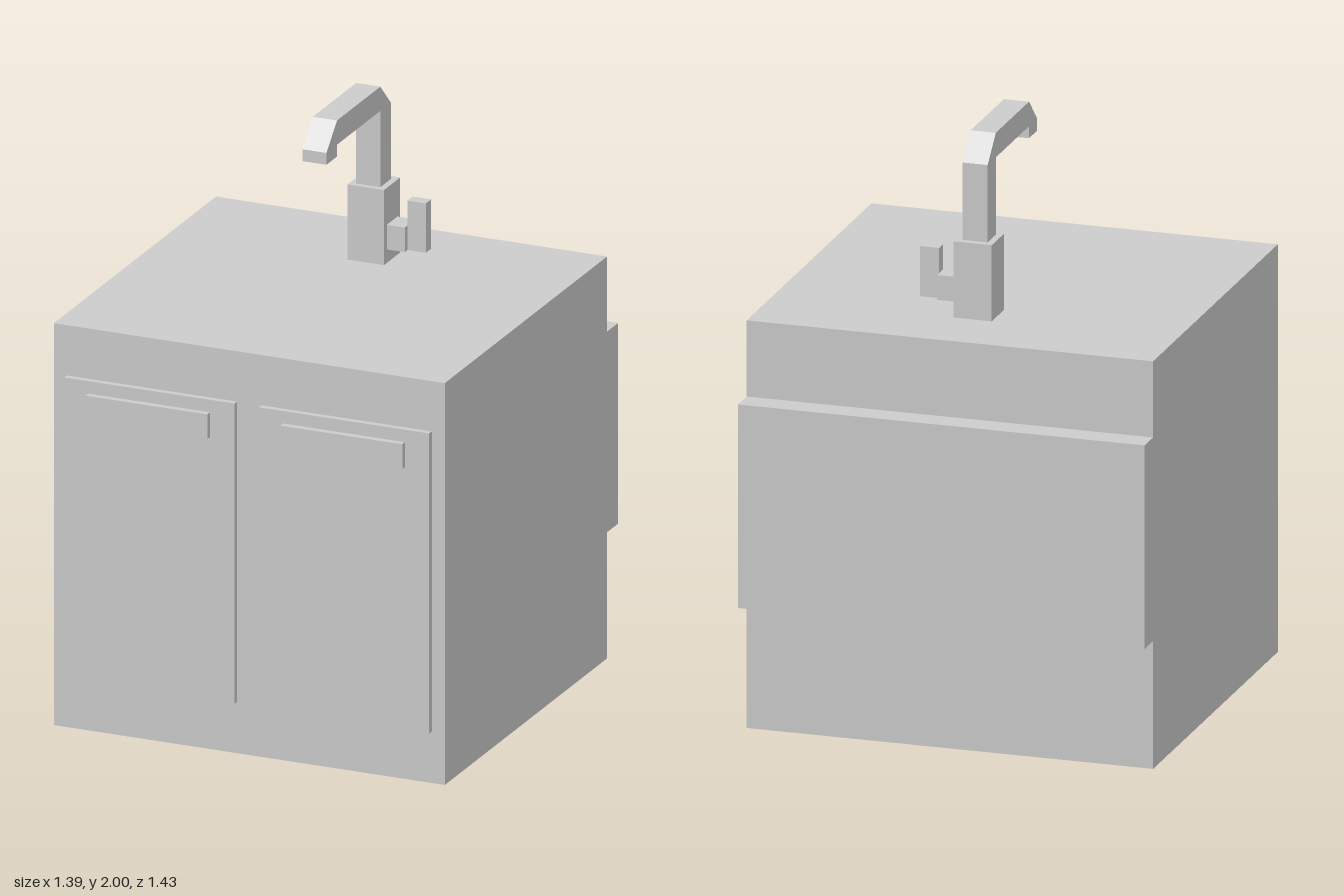
import * as THREE from 'three';

const material = new THREE.MeshStandardMaterial({ color: 0xcccccc, flatShading: true });

// Box given by its min and max on each axis
function box(name, [x0, x1], [y0, y1], [z0, z1]) {
  const mesh = new THREE.Mesh(new THREE.BoxGeometry(x1 - x0, y1 - y0, z1 - z0), material);
  mesh.position.set((x0 + x1) / 2, (y0 + y1) / 2, (z0 + z1) / 2);
  mesh.name = name;
  return mesh;
}

// Square-section spout: side profile (z, y) extruded across x
function createSpout() {
  const width = 0.086;
  const profile = [
    [-0.365, 1.65], [-0.28, 1.65], [-0.28, 1.916], [0.067, 1.916], [0.067, 1.875],
    [0.152, 1.875], [0.152, 1.916], [0.067, 2], [-0.28, 2], [-0.365, 1.916],
  ].map(([z, y]) => new THREE.Vector2(z, y));
  const geometry = new THREE.ExtrudeGeometry(new THREE.Shape(profile), { depth: width, bevelEnabled: false });
  geometry.translate(0, 0, -width / 2);
  geometry.rotateY(-Math.PI / 2);
  const mesh = new THREE.Mesh(geometry, material);
  mesh.name = 'spout';
  return mesh;
}

export function createModel() {
  const model = new THREE.Group();
  model.name = 'sinkCabinet';

  // Cabinet and the full-width panel on its back
  model.add(box('cabinet', [-0.695, 0.695], [0, 1.392], [-0.628, 0.674]));
  model.add(box('backPanel', [-0.695, 0.695], [0.437, 1.132], [-0.717, -0.628]));

  // Doors with bar handles
  for (const [side, s] of [['left', 1], ['right', -1]]) {
    const span = (a, b) => [Math.min(s * a, s * b), Math.max(s * a, s * b)];
    model.add(box(side + 'Door', span(0.043, 0.649), [0.178, 1.218], [0.674, 0.695]));
    model.add(box(side + 'DoorHandle', span(0.13, 0.563), [1.089, 1.175], [0.695, 0.717]));
  }

  // Tap: base, spout and side lever
  const tap = new THREE.Group();
  tap.name = 'tap';
  tap.add(box('tapBase', [-0.065, 0.065], [1.392, 1.652], [-0.39, -0.26]));
  tap.add(createSpout());
  tap.add(box('leverStem', [0.065, 0.129], [1.439, 1.524], [-0.368, -0.282]));
  tap.add(box('lever', [0.129, 0.194], [1.439, 1.61], [-0.347, -0.304]));
  model.add(tap);

  return model;
}
